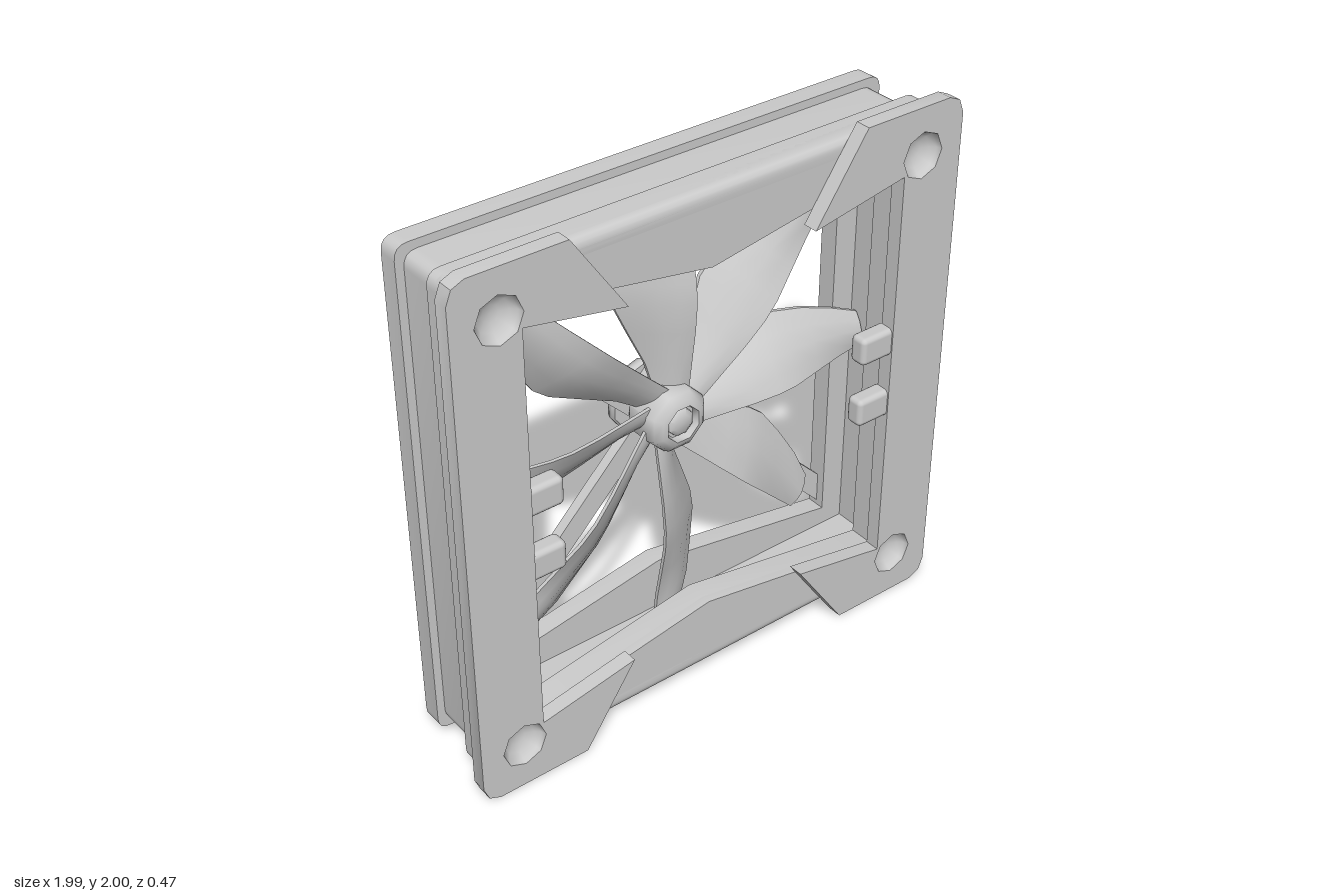
import * as THREE from 'three';
import { toCreasedNormals } from 'three/addons/utils/BufferGeometryUtils.js';
import { RoundedBoxGeometry } from 'three/addons/geometries/RoundedBoxGeometry.js';

const grey = new THREE.MeshStandardMaterial({ color: 0xcccccc });
const greyThin = new THREE.MeshStandardMaterial({ color: 0xcccccc, side: THREE.DoubleSide });

function addMesh(parent, name, geometry, material = grey) {
  const mesh = new THREE.Mesh(geometry, material);
  mesh.name = name;
  parent.add(mesh);
  return mesh;
}

const polygon = (Type, pts) => new Type(pts.map(([x, y]) => new THREE.Vector2(x, y)));
const squarePoints = (h) => [[-h, -h], [h, -h], [h, h], [-h, h]];

// Square frame with rounded outer corners and a polygonal hole
function squareFrame(h, r, holePoints) {
  const s = new THREE.Shape();
  s.moveTo(-h + r, -h);
  s.lineTo(h - r, -h).quadraticCurveTo(h, -h, h, -h + r);
  s.lineTo(h, h - r).quadraticCurveTo(h, h, h - r, h);
  s.lineTo(-h + r, h).quadraticCurveTo(-h, h, -h, h - r);
  s.lineTo(-h, -h + r).quadraticCurveTo(-h, -h, -h + r, -h);
  s.holes.push(polygon(THREE.Path, holePoints));
  return s;
}

// Extrusion that fills z0..z1, the bevel included and the outline kept
function slab(shape, z0, z1, bevel = 0) {
  const g = new THREE.ExtrudeGeometry(shape, {
    depth: z1 - z0 - 2 * bevel, curveSegments: 4, bevelEnabled: bevel > 0,
    bevelThickness: bevel, bevelSize: bevel, bevelOffset: -bevel, bevelSegments: 3,
  });
  g.translate(0, 0, z0 + bevel);
  return toCreasedNormals(g, 0.6);
}

// Turned part about the z axis; profile entries are [radius, z]
function turned(profile, sides) {
  const g = new THREE.LatheGeometry(profile.map(([r, z]) => new THREE.Vector2(r, z)), sides);
  g.rotateX(Math.PI / 2);
  return toCreasedNormals(g, 0.9);
}

// Curved blade along +y: [radius, trailing x, leading x, trailing z, leading z]
function bladeGeometry() {
  const stations = [
    [0.07, -0.03, 0.07, -0.09, -0.04],
    [0.2, -0.06, 0.068, -0.11, -0.02],
    [0.33, -0.115, 0.067, -0.13, 0],
    [0.44, -0.16, 0.066, -0.145, 0.01],
    [0.52, -0.168, 0.066, -0.14, 0.005],
    [0.64, -0.145, 0.065, -0.125, -0.02],
    [0.76, -0.11, 0.065, -0.1, -0.045],
    [0.87, -0.064, 0.064, -0.085, -0.06],
  ];
  const across = 4, half = 0.007, ring = 2 * (across + 1);
  const pos = [], index = [];
  for (const [r, x0, x1, z0, z1] of stations) {
    for (let k = 0; k < ring; k++) {
      const front = k <= across;
      const t = (front ? k : ring - 1 - k) / across;
      const camber = 0.02 * Math.sin(Math.PI * t);
      pos.push(x0 + (x1 - x0) * t, r, z0 + (z1 - z0) * t + camber + (front ? half : -half));
    }
  }
  for (let i = 0; i < stations.length - 1; i++) {
    for (let k = 0; k < ring; k++) {
      const a = i * ring + k, b = i * ring + (k + 1) % ring;
      index.push(a, b, b + ring, a, b + ring, a + ring);
    }
  }
  // Root and tip caps
  const tip = (stations.length - 1) * ring;
  for (let k = 0; k < across; k++) {
    const a = k, b = k + 1, c = ring - 2 - k, d = ring - 1 - k;
    index.push(a, c, b, a, d, c);
    index.push(tip + a, tip + b, tip + c, tip + a, tip + c, tip + d);
  }
  const g = new THREE.BufferGeometry();
  g.setAttribute('position', new THREE.Float32BufferAttribute(pos, 3));
  g.setIndex(index);
  return toCreasedNormals(g, 0.7);
}

export function createModel() {
  const model = new THREE.Group();
  model.name = 'boxFan';
  const fan = new THREE.Group();
  fan.name = 'fanAssembly';
  fan.position.y = 1;
  model.add(fan);

  // Housing: two flanges with a six-sided opening, joined by a thin wall
  const opening = [[-0.787, -0.807], [0, -0.675], [0.787, -0.807],
    [0.787, 0.807], [0, 0.675], [-0.787, 0.807]];
  addMesh(fan, 'backFlange', slab(squareFrame(0.95, 0.05, opening), -0.19, -0.115));
  addMesh(fan, 'housingWall', slab(squareFrame(0.92, 0.05, squarePoints(0.88)), -0.115, 0.06));
  addMesh(fan, 'frontFlange', slab(squareFrame(0.95, 0.05, opening), 0.06, 0.14));
  // Front face of the flange, with a rounded rim around it
  addMesh(fan, 'frontFlangeFace', slab(squareFrame(0.915, 0.03, opening), 0.14, 0.175));
  addMesh(fan, 'frontFlangeRim', slab(squareFrame(0.95, 0.05, squarePoints(0.86)), 0.07, 0.175, 0.03));

  // Side mounting plates with flared arms, screw dishes and clips
  const dishProfile = [[0, 0.185], [0.03, 0.188], [0.06, 0.2], [0.078, 0.217], [0.085, 0.235]];
  for (const side of [-1, 1]) {
    const name = side > 0 ? 'left' : 'right';
    const plate = polygon(THREE.Shape, [
      [0.575, -1], [0.93, -1], [0.975, -0.98], [0.995, -0.93],
      [0.995, 0.93], [0.975, 0.98], [0.93, 1], [0.575, 1],
      [0.37, 0.7], [0.748, 0.77], [0.748, -0.77], [0.37, -0.7],
    ].map(([x, y]) => [x * side, y]));
    for (const end of [-1, 1]) {
      const rim = [];
      for (let i = 0; i < 8; i++) {
        const a = i * Math.PI / 4;
        rim.push([0.825 * side + 0.085 * Math.cos(a), 0.825 * end + 0.085 * Math.sin(a)]);
      }
      plate.holes.push(polygon(THREE.Path, rim));
      const dish = addMesh(fan, name + 'ScrewDish', turned(dishProfile, 8), greyThin);
      dish.position.set(0.825 * side, 0.825 * end, 0);
      const clip = addMesh(fan, name + 'Clip', new RoundedBoxGeometry(0.15, 0.108, 0.07, 2, 0.02));
      clip.position.set(0.694 * side, 0.004 + 0.126 * end, 0.195);
    }
    addMesh(fan, name + 'MountingPlate', slab(plate, 0.178, 0.235));
  }

  // Rear struts, each set to one side of its diagonal
  for (let i = 0; i < 4; i++) {
    const geometry = new THREE.BoxGeometry(1.1, 0.085, 0.04);
    geometry.translate(0.59, 0.042, -0.168);
    addMesh(fan, 'rearStrut', geometry).rotation.z = Math.PI / 4 + i * Math.PI / 2;
  }

  // Rear motor cap and front hub with a recessed spindle
  addMesh(fan, 'motorCap', turned([[0, -0.235], [0.115, -0.235], [0.133, -0.228], [0.142, -0.21],
    [0.142, -0.195], [0.135, -0.185], [0.09, -0.185], [0.09, -0.06]], 10));
  const hub = addMesh(fan, 'hub', turned([[0.085, -0.15], [0.11, -0.14], [0.125, -0.12], [0.125, -0.02],
    [0.115, 0.005], [0.09, 0.025], [0.07, 0.03], [0.065, 0], [0.054, 0],
    [0.052, 0.015], [0.035, 0.025], [0, 0.025]], 8));
  hub.rotation.z = Math.PI / 8;

  // Eight blades around the hub
  const blade = bladeGeometry();
  for (let i = 0; i < 8; i++) {
    addMesh(fan, 'blade', blade, greyThin).rotation.z = i * Math.PI / 4;
  }
  return model;
}
